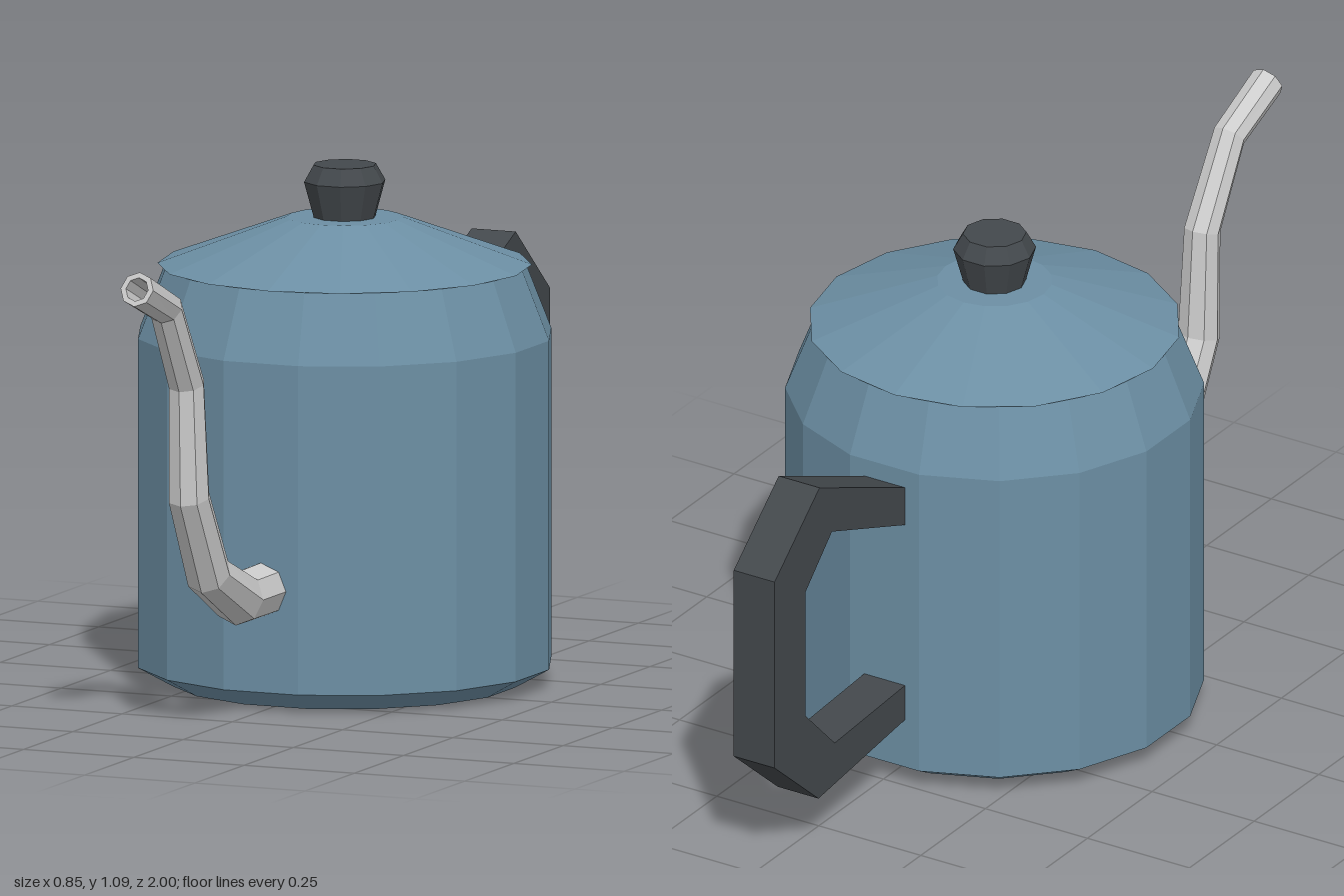
import * as THREE from 'three';

const AXIS_Z = -0.07; // centre line of the pot body

const paint = (color) => new THREE.MeshStandardMaterial({ color, flatShading: true });

// Gives a geometry one normal per face
function faceted(geometry) {
  const g = geometry.index ? geometry.toNonIndexed() : geometry;
  g.computeVertexNormals();
  return g;
}

// Turned part around the pot's axis; profile is [radius, y] from bottom to top
function turned(name, profile, sides, start, material) {
  const points = profile.map(([r, y]) => new THREE.Vector2(r, y));
  const mesh = new THREE.Mesh(faceted(new THREE.LatheGeometry(points, sides, start)), material);
  mesh.name = name;
  mesh.position.z = AXIS_Z;
  return mesh;
}

// Hollow tapering tube: outer rings go out, inner rings come back
function spoutGeometry(path, sides) {
  const nodes = path.map(([z, y, r]) => ({ p: new THREE.Vector2(z, y), r }));
  const dir = (a, b) => b.p.clone().sub(a.p).normalize();
  nodes.forEach((n, i) => {
    n.t = new THREE.Vector2();
    if (i > 0) n.t.add(dir(nodes[i - 1], n));
    if (i < nodes.length - 1) n.t.add(dir(n, nodes[i + 1]));
    n.t.normalize();
  });
  const rings = [
    ...nodes,
    ...nodes.map((n) => ({ ...n, r: n.r * 0.68 })).reverse(),
  ];
  const positions = [];
  const index = [];
  rings.forEach(({ p, r, t }, i) => {
    for (let j = 0; j < sides; j++) {
      const a = (j / sides) * Math.PI * 2;
      const s = Math.sin(a) * r;
      positions.push(Math.cos(a) * r, p.y + t.x * s, p.x - t.y * s);
      if (i === rings.length - 1) continue;
      const k = (j + 1) % sides;
      const a0 = i * sides + j, a1 = i * sides + k;
      index.push(a0, a1, a1 + sides, a0, a1 + sides, a0 + sides);
    }
  });
  const g = new THREE.BufferGeometry();
  g.setAttribute('position', new THREE.Float32BufferAttribute(positions, 3));
  g.setIndex(index);
  return faceted(g);
}

export function createModel() {
  const group = new THREE.Group();
  group.name = 'coffeePot';
  const enamel = paint(0x6c8fa4);
  const dark = paint(0x43484c);
  const metal = paint(0xcccccc);

  // Body with chamfered foot and sloped shoulder
  group.add(turned('body',
    [[0, 0], [0.362, 0], [0.434, 0.04], [0.434, 0.73], [0.377, 0.875], [0, 0.875]],
    16, Math.PI / 16, enamel));

  // Conical lid, slightly overhanging the shoulder
  group.add(turned('lid',
    [[0, 0.874], [0.388, 0.876], [0.12, 0.975], [0, 0.975]],
    16, 0, enamel));

  // Knob
  group.add(turned('knob',
    [[0, 0.97], [0.064, 0.97], [0.086, 1.05], [0.066, 1.085], [0, 1.085]],
    10, Math.PI / 10, dark));

  // Curved spout: [z, y, radius]
  const spout = new THREE.Mesh(spoutGeometry([
    [0.33, 0.255, 0.057],
    [0.47, 0.255, 0.057],
    [0.623, 0.329, 0.049],
    [0.72, 0.503, 0.045],
    [0.733, 0.743, 0.039],
    [0.837, 0.917, 0.036],
    [0.984, 0.979, 0.037],
  ], 8), metal);
  spout.name = 'spout';
  group.add(spout);

  // Angular handle, drawn as [z, y] and extruded across the width
  const outline = [
    [-0.46, 0.705], [-0.826, 0.834], [-1, 0.69], [-1, 0.257], [-0.83, 0.112], [-0.46, 0.154],
    [-0.46, 0.232], [-0.767, 0.214], [-0.88, 0.326], [-0.88, 0.615], [-0.778, 0.711], [-0.46, 0.59],
  ];
  outline[0][1] = 0.675;
  const shape = new THREE.Shape(outline.map(([z, y]) => new THREE.Vector2(z, y)));
  const handleGeometry = new THREE.ExtrudeGeometry(shape, { depth: 0.1, bevelEnabled: false });
  handleGeometry.translate(0, 0, -0.05).rotateY(-Math.PI / 2);
  const handle = new THREE.Mesh(faceted(handleGeometry), dark);
  handle.name = 'handle';
  group.add(handle);

  return group;
}
